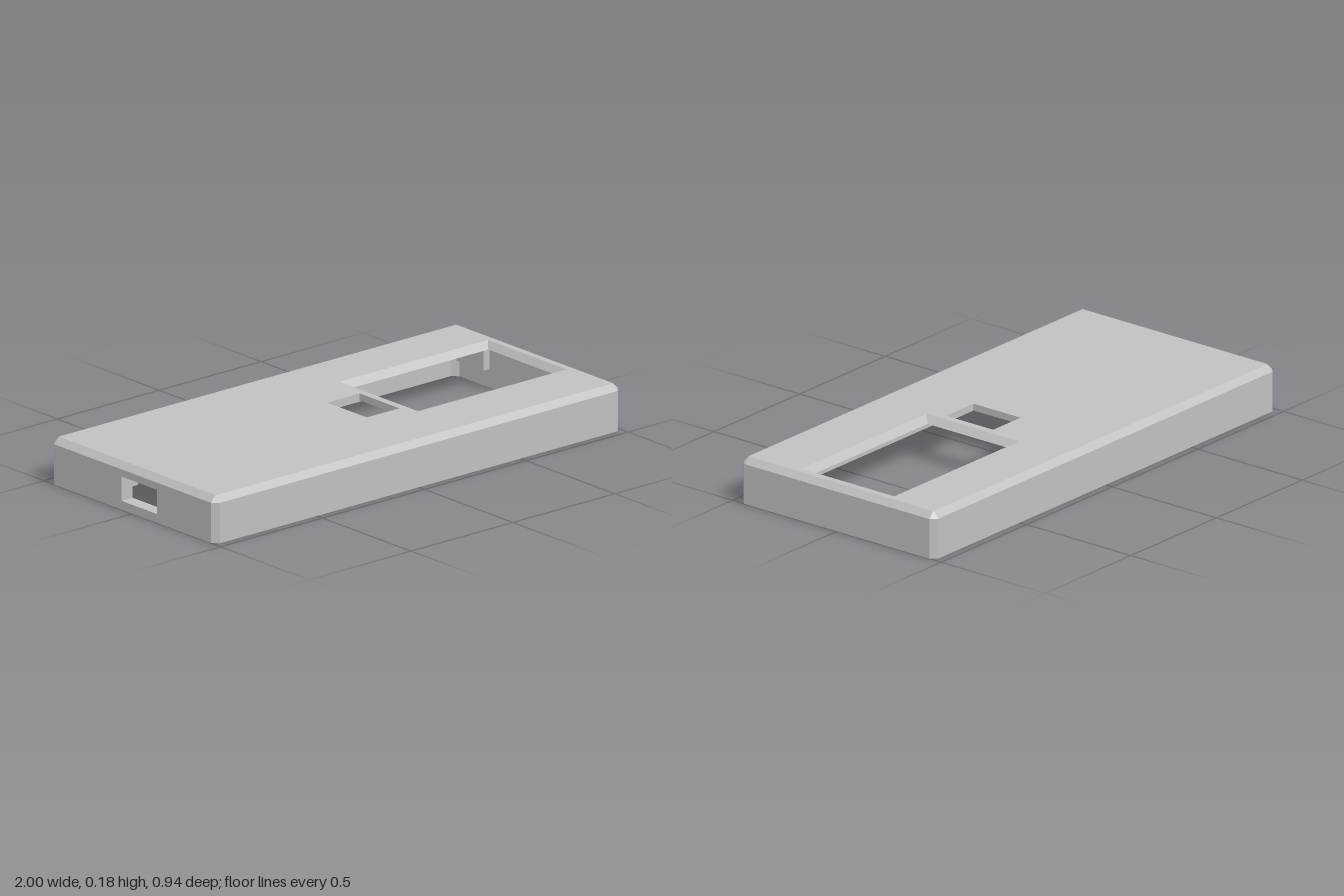
import * as THREE from 'three';

const rimY = 0.075, ceilY = 0.155, shoulderY = 0.158, topY = 0.182;
const innerX = -0.946;

// Plan loops are [x, s] with s = -z, counter-clockwise seen from above
const rect = (x0, x1, s0, s1) => [[x0, s0], [x1, s0], [x1, s1], [x0, s1]];
const octagon = (x, s, c) => [
  [-x + c, -s], [x - c, -s], [x, -s + c], [x, s - c],
  [x - c, s], [-x + c, s], [-x, s - c], [-x, -s + c],
];
const at = (loop, y) => loop.map(([x, s]) => [x, y, -s]);

// Band of flat quads between two 3D loops, optionally leaving one side out
function band(a, b, flip = false, skip = -1) {
  const pos = [];
  a.forEach((p, i) => {
    if (i === skip) return;
    const j = (i + 1) % a.length;
    const q = flip ? [a[j], p, b[i], b[j]] : [p, a[j], b[j], b[i]];
    pos.push(...q[0], ...q[1], ...q[2], ...q[0], ...q[2], ...q[3]);
  });
  const g = new THREE.BufferGeometry();
  g.setAttribute('position', new THREE.Float32BufferAttribute(pos, 3));
  g.computeVertexNormals();
  return g;
}

// Flat face with holes, optionally facing the other way
function face(outline, holes, flip = false) {
  const points = (l) => l.map(([u, v]) => new THREE.Vector2(u, v));
  const shape = new THREE.Shape(points(outline));
  shape.holes = holes.map((h) => new THREE.Path(points(h)));
  const g = new THREE.ShapeGeometry(shape);
  if (flip) {
    g.setIndex(Array.from(g.index.array).reverse());
    g.computeVertexNormals();
  }
  return g;
}
const level = (outline, holes, y, down) =>
  face(outline, holes, down).rotateX(-Math.PI / 2).translate(0, y, 0);
const endPanel = (outline, holes, x, inward) =>
  face(outline, holes, inward).rotateY(-Math.PI / 2).translate(x, 0, 0);

export function createModel() {
  const group = new THREE.Group();
  group.name = 'enclosure';
  const grey = new THREE.MeshStandardMaterial({ color: 0xc0c0c0 });
  grey.name = 'grey plastic';
  const add = (name, geometry) => {
    const mesh = new THREE.Mesh(geometry, grey);
    mesh.name = name;
    group.add(mesh);
  };

  const outer = octagon(1, 0.468, 0.024);
  const top = octagon(0.976, 0.444, 0.002);
  const recess = octagon(-innerX, 0.414, 0.024);

  // Cavity outline: window relief at the left end, port notch at the right end
  const cavity = octagon(0.91, 0.38, 0.012);
  cavity.splice(7, 0, [-0.91, 0.07], [innerX + 0.001, 0.07], [innerX + 0.001, -0.15], [-0.91, -0.15]);
  cavity.splice(3, 0, [0.91, -0.19], [0.94, -0.19], [0.94, 0.215], [0.91, 0.215]);

  const windowTop = rect(0.22, 0.95, -0.21, 0.235);
  const windowBottom = rect(0.245, 0.93, -0.185, 0.21);
  const smallHole = rect(0.03, 0.19, -0.14, 0.085);
  const port = rect(-0.06, 0.14, 0.035, 0.13); // z, y

  // Outside shell
  add('outerWall', band(at(outer, 0), at(outer, shoulderY), false, 6));
  add('portEndWall', endPanel(rect(-0.444, 0.444, 0, shoulderY), [port], -1));
  add('topChamfer', band(at(outer, shoulderY), at(top, topY)));
  add('topFace', level(top, [windowTop, smallHole], topY));
  add('bottomRim', level(outer, [recess], 0, true));

  // Openings through the top
  add('windowBevel', band(at(windowBottom, ceilY), at(windowTop, topY), true));
  add('smallHoleWall', band(at(smallHole, ceilY), at(smallHole, topY), true));

  // Stepped inside
  add('recessWall', band(at(recess, 0), at(recess, rimY), true, 6));
  add('ledge', level(recess, [cavity], rimY, true));
  add('cavityWall', band(at(cavity, rimY), at(cavity, ceilY), true, 12));
  add('ceiling', level(cavity, [windowBottom, smallHole], ceilY, true));
  add('portInnerWall', endPanel([
    [-0.39, 0], [0.39, 0], [0.39, rimY], [0.15, rimY],
    [0.15, ceilY], [-0.07, ceilY], [-0.07, rimY], [-0.39, rimY],
  ], [port], innerX, true));

  // Tunnel of the end port
  const portAt = (x) => port.map(([z, y]) => [x, y, z]);
  add('portTunnel', band(portAt(innerX), portAt(-1), true));
  return group;
}
